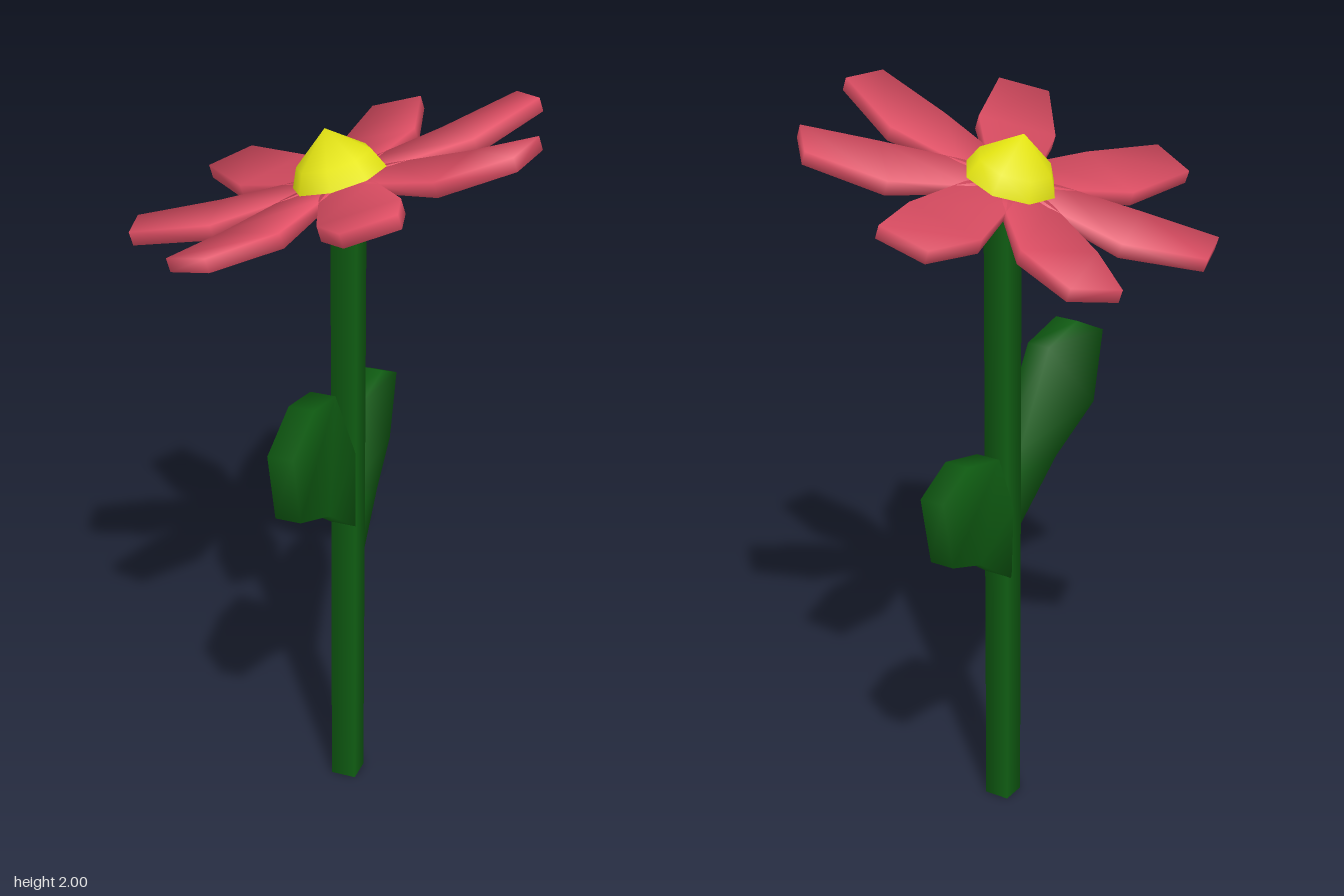
import * as THREE from 'three';

const material = (name, color) => {
  const m = new THREE.MeshStandardMaterial({ color });
  m.name = name;
  return m;
};
const V = (x, y, z) => new THREE.Vector3(x, y, z);

// Flat blade: rows of [edge a, edge b, thickness] lofted into a closed slab.
// "up" is the top side; the edges run so that (b - a) x length = up.
// Normals point out of the corners, so the whole blade shades as one soft form.
function bladeGeometry(rows, up) {
  const pos = [], nor = [], idx = [];
  const last = rows.length - 1;
  const centre = ([a, b]) => a.clone().add(b).multiplyScalar(0.5);
  const along = centre(rows[last]).sub(centre(rows[0])).normalize();
  rows.forEach(([a, b, thickness], i) => {
    const across = b.clone().sub(a).normalize();
    const end = i === 0 ? -1 : i === last ? 1 : 0;
    for (const [p, side, top] of [[a, -1, 1], [b, 1, 1], [b, 1, -1], [a, -1, -1]]) {
      pos.push(...p.clone().addScaledVector(up, top * thickness / 2).toArray());
      nor.push(...up.clone().multiplyScalar(top).addScaledVector(across, side)
        .addScaledVector(along, end).normalize().toArray());
    }
    if (i === last) return;
    for (let j = 0; j < 4; j++) {
      const p = i * 4 + j, q = i * 4 + (j + 1) % 4;
      idx.push(p, q, q + 4, p, q + 4, p + 4);
    }
  });
  const e = last * 4;
  idx.push(0, 2, 1, 0, 3, 2, e, e + 1, e + 2, e, e + 2, e + 3);
  const g = new THREE.BufferGeometry();
  g.setAttribute('position', new THREE.Float32BufferAttribute(pos, 3));
  g.setAttribute('normal', new THREE.Float32BufferAttribute(nor, 3));
  g.setIndex(idx);
  return g;
}

// Eight-sided dome with a smoothly shaded pole
function domeGeometry(points, pole) {
  const g = new THREE.LatheGeometry(points.map(([x, y]) => new THREE.Vector2(x, y)), 8, 0.2);
  const { position, normal } = g.attributes;
  for (let i = 0; i < position.count; i++) {
    if (Math.hypot(position.getX(i), position.getZ(i)) < 1e-6) normal.setXYZ(i, 0, pole, 0);
  }
  return g;
}

export function createModel() {
  const green = material('leaf green', 0x0f5c12);
  const pink = material('petal pink', 0xe25066);
  const yellow = material('pollen yellow', 0xe4e412);
  const flower = new THREE.Group();
  flower.name = 'flower';
  const add = (parent, name, geometry, mat) => {
    const mesh = new THREE.Mesh(geometry, mat);
    mesh.name = name;
    parent.add(mesh);
    return mesh;
  };

  // Square stem
  const stemRadius = 0.035 * Math.SQRT2;
  const stem = add(flower, 'stem', new THREE.CylinderGeometry(stemRadius, stemRadius, 1.77, 4), green);
  stem.position.set(0.02, 0.885, 0.01);
  stem.rotation.y = Math.PI / 4;

  // Leaves: [x, lower z, lower y, upper z, upper y] from stem to tip
  const leaf = (name, up, rows) => add(flower, name, bladeGeometry(
    rows.map(([x, z0, y0, z1, y1]) => [V(x, y0, z0), V(x, y1, z1), 0.068]), up), green);
  leaf('frontLeaf', V(1, 0, 0), [
    [0.02, 0.01, 0.81, 0.01, 0.99],
    [0.02, 0.23, 0.97, 0.04, 1.05],
    [0.02, 0.43, 1.06, 0.19, 1.30],
    [0.02, 0.475, 1.26, 0.335, 1.33],
  ]);
  leaf('backLeaf', V(-1, 0, 0), [
    [0.02, 0, 0.69, 0, 0.88],
    [-0.005, -0.19, 0.82, -0.03, 0.92],
    [-0.03, -0.36, 0.89, -0.14, 1.11],
    [-0.025, -0.395, 1.08, -0.28, 1.14],
  ]);

  // Tilted flower head
  const head = new THREE.Group();
  head.name = 'flowerHead';
  head.position.set(-0.005, 1.815, 0.008);
  head.rotation.z = 0.31;
  flower.add(head);

  // Petals, dipping and then curling up: [radius, height, half width, thickness]
  const petalGeometry = bladeGeometry([
    [0.03, -0.008, 0.04, 0.02],
    [0.12, -0.014, 0.07, 0.025],
    [0.33, -0.026, 0.105, 0.04],
    [0.54, 0.002, 0.07, 0.036],
  ].map(([r, y, w, t]) => [V(r, y, -w), V(r, y, w), t]), V(0, 1, 0));
  for (let i = 0; i < 7; i++) {
    const petal = add(head, 'petal', petalGeometry, pink);
    petal.rotation.y = -(0.15 + i * Math.PI * 2 / 7);
  }

  // Domed centre and the cup below it
  add(head, 'flowerCentre', domeGeometry([[0.124, 0], [0.1, 0.05], [0, 0.13]], 1), yellow);
  add(head, 'flowerCup',
    domeGeometry([[0, -0.085], [0.08, -0.062], [0.125, -0.02], [0.12, 0]], -1), pink);

  return flower;
}
